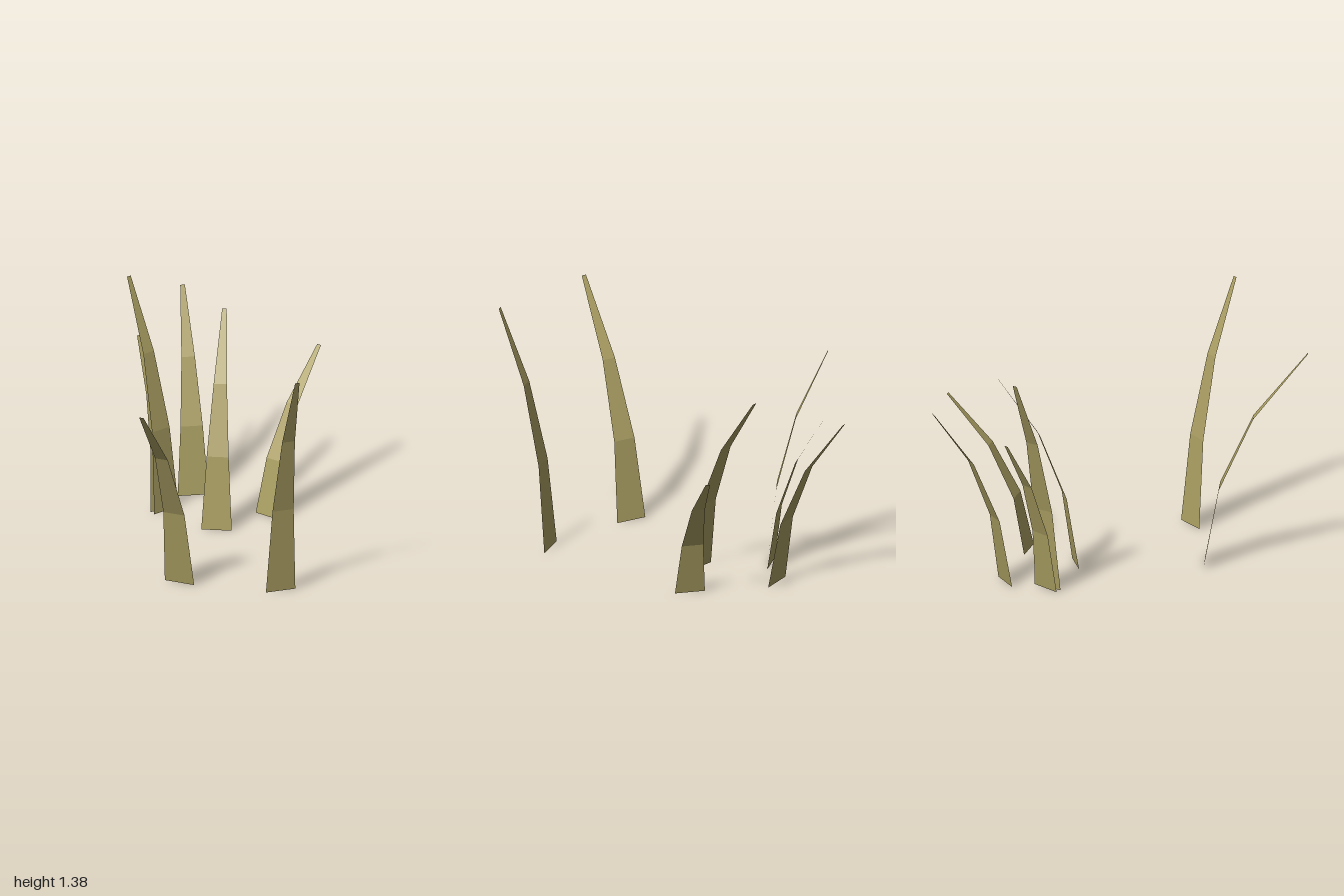
import * as THREE from 'three';

// Shared bend of every blade: height, outward lean and width at each row, as fractions
const ROWS = [
  { rise: 0, lean: 0, width: 1 },
  { rise: 0.363, lean: 0.146, width: 0.72 },
  { rise: 0.693, lean: 0.473, width: 0.435 },
  { rise: 1, lean: 1, width: 0.15 },
];

// Base centre (x, z), tip offset (dx, dz), height and base width
const BLADES = [
  { name: 'frontBlade', x: 0.045, z: 0.44, dx: 0.094, dz: 0.558, height: 1.24, width: 0.172 },
  { name: 'leftBlade', x: 0.57, z: 0.243, dx: 0.227, dz: 0.2, height: 1.385, width: 0.168 },
  { name: 'rightTallBlade', x: -0.495, z: -0.315, dx: -0.308, dz: -0.115, height: 1.29, width: 0.168 },
  { name: 'rightShortBlade', x: -0.513, z: -0.32, dx: -0.258, dz: -0.165, height: 0.92, width: 0.165 },
  { name: 'middleBlade', x: -0.13, z: -0.24, dx: -0.188, dz: -0.395, height: 1.13, width: 0.167 },
  { name: 'backRightBlade', x: -0.47, z: -0.557, dx: -0.275, dz: -0.343, height: 1.063, width: 0.17 },
  { name: 'backBlade', x: 0.02, z: -0.535, dx: 0.045, dz: -0.464, height: 0.86, width: 0.167 },
];

// A flat tapering ribbon that curls away from its base
function bladeGeometry({ x, z, dx, dz, height, width }) {
  const reach = Math.hypot(dx, dz);
  const sideX = dz / reach, sideZ = -dx / reach;
  const positions = [], index = [];
  ROWS.forEach((row, i) => {
    for (const s of [-0.5, 0.5]) {
      const w = s * width * row.width;
      positions.push(x + dx * row.lean + sideX * w, height * row.rise, z + dz * row.lean + sideZ * w);
    }
    if (i > 0) {
      const a = (i - 1) * 2;
      index.push(a, a + 1, a + 3, a, a + 3, a + 2);
    }
  });
  const geometry = new THREE.BufferGeometry();
  geometry.setAttribute('position', new THREE.Float32BufferAttribute(positions, 3));
  geometry.setIndex(index);
  const flat = geometry.toNonIndexed(); // separate faces keep the folds crisp
  flat.computeVertexNormals();
  return flat;
}

export function createModel() {
  const group = new THREE.Group();
  group.name = 'grassTuft';
  const dryGrass = new THREE.MeshStandardMaterial({
    name: 'dryGrass', color: 0xaa9e62, flatShading: true, side: THREE.DoubleSide,
  });
  for (const blade of BLADES) {
    const mesh = new THREE.Mesh(bladeGeometry(blade), dryGrass);
    mesh.name = blade.name;
    group.add(mesh);
  }
  return group;
}
